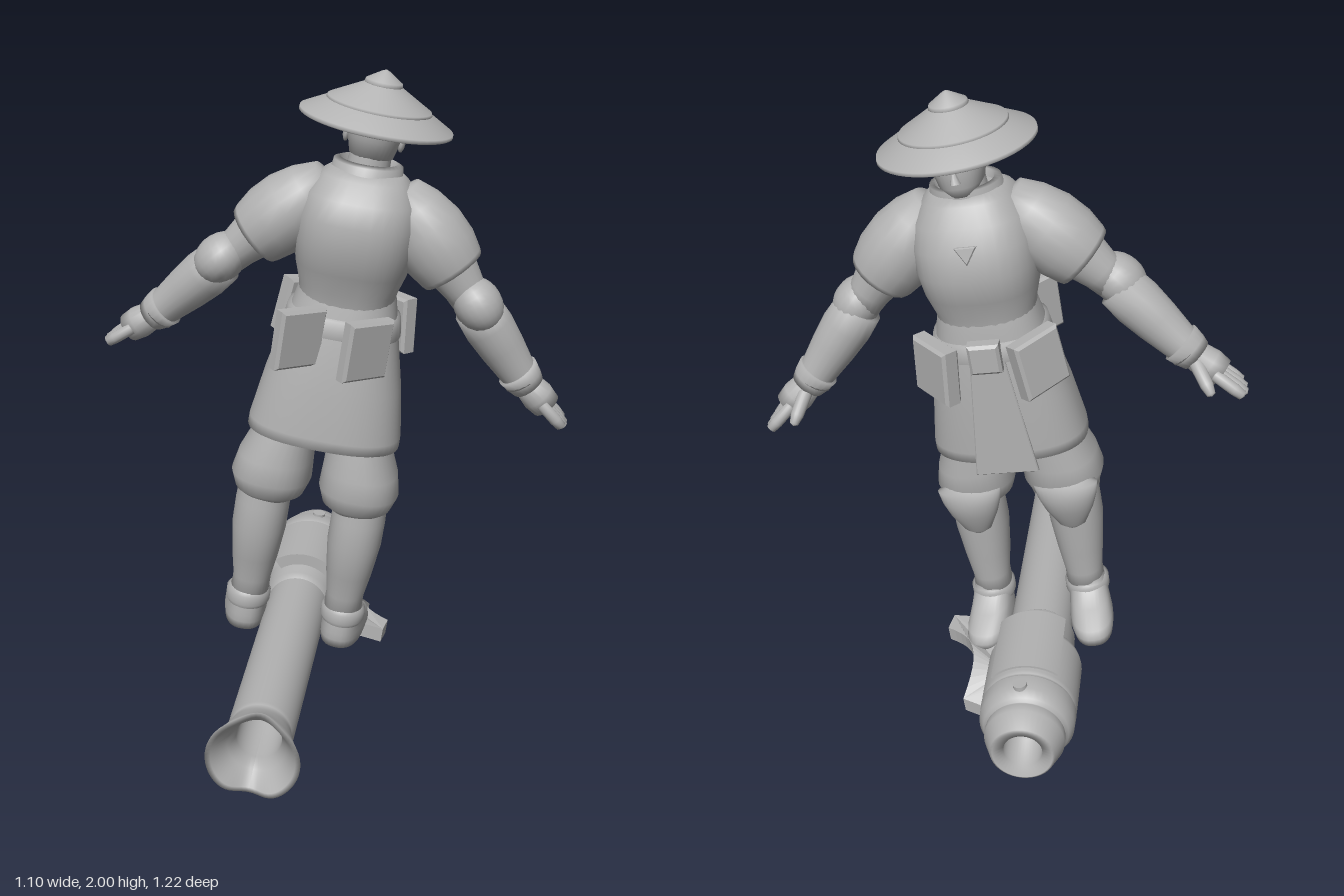
import * as THREE from 'three';

const grey = new THREE.MeshStandardMaterial({ color: 0xb2b2b2, side: THREE.DoubleSide });
grey.name = 'plain grey';
const V = (x, y, z) => new THREE.Vector3(x, y, z);

function add(parent, name, geo, pos = [0, 0, 0], rot = [0, 0, 0], scale = [1, 1, 1]) {
  const m = new THREE.Mesh(geo, grey);
  m.name = name;
  m.position.set(...pos);
  m.rotation.set(...rot);
  m.scale.set(...scale);
  parent.add(m);
  return m;
}

// Upright body of superellipse rings [y, halfWidth, halfDepth, centreZ, centreX]
function loft(rings, n = 2, seg = 32) {
  const pos = [], idx = [];
  const bend = (t) => Math.sign(t) * Math.pow(Math.abs(t), 2 / n);
  for (const [y, rx, rz, cz = 0, cx = 0] of rings)
    for (let j = 0; j < seg; j++) {
      const a = (j / seg) * Math.PI * 2;
      pos.push(cx + rx * bend(Math.sin(a)), y, cz + rz * bend(Math.cos(a)));
    }
  for (let i = 0; i < rings.length - 1; i++)
    for (let j = 0; j < seg; j++) {
      const a = i * seg + j, b = i * seg + ((j + 1) % seg);
      idx.push(a, b, b + seg, a, b + seg, a + seg);
    }
  const g = new THREE.BufferGeometry();
  g.setAttribute('position', new THREE.Float32BufferAttribute(pos, 3));
  g.setIndex(idx);
  g.computeVertexNormals();
  return g;
}

const lathe = (pts, seg = 32) => new THREE.LatheGeometry(pts.map(([r, y]) => new THREE.Vector2(r, y)), seg);

// Round limb from a to b, profile of [radius, fraction along]
function limb(parent, name, a, b, pts) {
  const d = b.clone().sub(a);
  const m = add(parent, name, lathe(pts.map(([r, t]) => [r, t * d.length()]), 20), a.toArray());
  m.quaternion.setFromUnitVectors(V(0, 1, 0), d.normalize());
}

function plate(points, depth, bevel) {
  const s = new THREE.Shape(points.map(([x, y]) => new THREE.Vector2(x, y)));
  return new THREE.ExtrudeGeometry(s, { depth, bevelEnabled: true, bevelThickness: bevel, bevelSize: bevel, bevelSegments: 1 });
}
const pouch = (w, h, d) => plate([[-w / 2, -h / 2], [w / 2, -h / 2], [w / 2, h / 2], [-w / 2, h / 2]], d, 0.008);

function makeArm(s) {
  const arm = new THREE.Group();
  arm.name = s > 0 ? 'leftArm' : 'rightArm';
  const P = (x, y, z) => V(x * s, y, z);
  const elbow = P(0.352, 1.08, 0.015), wrist = P(0.525, 0.88, 0.05), knuckle = P(0.602, 0.815, 0.065);
  limb(arm, 'shoulderPad', P(0.09, 1.36, 0.01), P(0.275, 1.165, 0.015),
    [[0, 0], [0.06, 0.04], [0.088, 0.25], [0.105, 0.5], [0.106, 0.75], [0.095, 0.95], [0.09, 1], [0.075, 0.98], [0, 0.9]]);
  limb(arm, 'upperArm', P(0.2, 1.25, 0.015), elbow, [[0.08, 0], [0.074, 0.4], [0.058, 0.75], [0.054, 1], [0, 1.05]]);
  // Domed guard over the outside of the elbow
  add(arm, 'elbowGuard', new THREE.SphereGeometry(0.07, 20, 14), elbow.clone().add(P(0.008, 0.005, -0.01)).toArray(),
    [0, 0, s * 0.7], [0.95, 1.15, 1.1]);
  limb(arm, 'forearmGuard', elbow, wrist,
    [[0, 0], [0.066, 0.03], [0.07, 0.28], [0.064, 0.55], [0.052, 0.9], [0.055, 1], [0, 1]]);
  limb(arm, 'wristCuff', wrist.clone().lerp(elbow, 0.12), wrist.clone().lerp(knuckle, 0.25),
    [[0, 0], [0.06, 0], [0.054, 0.6], [0.047, 1], [0, 1]]);
  // Hand: palm, four fingers and a thumb
  limb(arm, 'palm', wrist, knuckle.clone().lerp(wrist, -0.1),
    [[0, 0], [0.038, 0.05], [0.047, 0.6], [0.042, 0.95], [0, 1]]);
  for (let i = 0; i < 4; i++) {
    const z = (i - 1.5) * 0.024;
    const len = [0.85, 0.98, 1, 0.88][i];
    const from = knuckle.clone().add(V(0, 0, z));
    limb(arm, 'finger', from, from.clone().add(P(0.07 * len, -0.06 * len, 0.012 + z * 0.1)),
      [[0, -0.25], [0.017, -0.2], [0.017, 0.6], [0.014, 0.92], [0, 1]]);
  }
  limb(arm, 'thumb', P(0.54, 0.865, 0.08), P(0.58, 0.79, 0.15),
    [[0, 0], [0.02, 0.1], [0.018, 0.7], [0.012, 0.95], [0, 1]]);
  return arm;
}

function makeLeg(s) {
  const leg = new THREE.Group();
  leg.name = s > 0 ? 'leftLeg' : 'rightLeg';
  add(leg, 'baggyTrouser', loft([
    [0.43, 0, 0], [0.425, 0.075, 0.08], [0.445, 0.1, 0.105], [0.49, 0.116, 0.124, 0.002], [0.55, 0.108, 0.122, 0.005, -s * 0.005],
    [0.64, 0.088, 0.112, 0.01, -s * 0.022], [0.72, 0.075, 0.105, 0.018, -s * 0.035]], 2.3), [s * 0.128, 0, -0.018]);
  add(leg, 'greave', loft([
    [0.07, 0, 0], [0.07, 0.056, 0.06, 0.01], [0.14, 0.056, 0.062, 0.01], [0.22, 0.068, 0.078, 0.002],
    [0.32, 0.079, 0.09, -0.003], [0.4, 0.079, 0.09, 0.002], [0.45, 0.075, 0.085, 0]], 2.2), [s * 0.142, 0, -0.018]);
  add(leg, 'ankleCuff', loft([
    [0.05, 0.06, 0.065], [0.062, 0.066, 0.07], [0.09, 0.066, 0.07], [0.1, 0.056, 0.06]]), [s * 0.145, 0, -0.008]);
  // Curved knee plate with a pointed lower end
  add(leg, 'kneePlate', loft([
    [-0.11, 0, 0, 0.005], [-0.085, 0.04, 0.025], [-0.02, 0.07, 0.04, 0.01], [0.025, 0.085, 0.045, 0.012],
    [0.065, 0.092, 0.038, 0.012], [0.08, 0.055, 0.022, 0.01], [0.08, 0, 0, 0.01]]), [s * 0.14, 0.43, 0.062], [0.05, 0, 0]);
  const shoe = loft([
    [-0.025, 0, 0, 0.06], [-0.025, 0.06, 0.125, 0.06], [0.002, 0.065, 0.132, 0.06], [0.022, 0.063, 0.124, 0.053],
    [0.05, 0.059, 0.092, 0.02], [0.085, 0.055, 0.062, -0.005], [0.11, 0.05, 0.055, -0.005]], 2.5);
  add(leg, 'shoe', shoe, [s * 0.147, 0, 0], [0, s * 0.12, 0]);
  return leg;
}

function makeLauncher() {
  const g = new THREE.Group();
  g.name = 'launcher';
  g.position.set(0, -0.016, 0);
  const along = [Math.PI / 2, 0, 0];
  // Barrel with a flared, notched mouth
  const barrel = lathe([[0, -0.4], [0.06, -0.4], [0.062, -0.6], [0.078, -0.64], [0.112, -0.704], [0.126, -0.706],
    [0.104, -0.65], [0.09, -0.6], [0.085, -0.585], [0.084, -0.57], [0.09, -0.565], [0.093, 0.2]], 64);
  const p = barrel.attributes.position;
  for (let i = 0; i < p.count; i++) {
    const y = p.getY(i), r = Math.hypot(p.getX(i), p.getZ(i));
    if (y < -0.62 && r > 0) p.setY(i, y + 0.036 * Math.pow(Math.abs(p.getZ(i) / r), 12) * (-0.62 - y) / 0.086);
  }
  barrel.computeVertexNormals();
  add(g, 'barrel', barrel, [0, 0, 0], along);
  add(g, 'drum', lathe([[0.09, 0.12], [0.105, 0.14], [0.108, 0.22], [0.13, 0.25], [0.136, 0.27], [0.136, 0.44],
    [0.13, 0.447], [0.13, 0.455], [0.136, 0.462], [0.134, 0.51], [0.12, 0.535], [0.108, 0.54], [0.112, 0.548],
    [0.112, 0.575], [0.09, 0.628], [0.083, 0.632], [0.054, 0.615], [0.05, 0.52], [0, 0.52]], 40), [0, 0, 0], along);
  add(g, 'topCasing', new THREE.CylinderGeometry(0.142, 0.142, 0.24, 20, 1, false, Math.PI - 0.75, 1.5), [0, 0, 0.31], along);
  add(g, 'pin', new THREE.CylinderGeometry(0.02, 0.02, 0.04, 16), [0, 0.122, 0.5]);
  add(g, 'grip', plate([[-0.03, -0.04], [0.03, -0.04], [0.037, 0], [0.03, 0.04], [-0.03, 0.04], [-0.037, 0]], 0.27, 0.004),
    [0, -0.07, 0.18], along);
  // Shoulder rest: hollow-edged plate bent downwards towards its front
  const s = new THREE.Shape();
  s.moveTo(-0.06, 0.08);
  s.lineTo(-0.275, 0.045);
  s.lineTo(-0.285, 0.105);
  s.quadraticCurveTo(-0.14, 0.18, -0.22, 0.33);
  s.lineTo(-0.15, 0.35);
  s.quadraticCurveTo(-0.1, 0.26, -0.06, 0.24);
  const rest = new THREE.ExtrudeGeometry(s, { depth: 0.045, bevelEnabled: false, curveSegments: 12 });
  rest.rotateX(Math.PI / 2);
  const q = rest.attributes.position;
  for (let i = 0; i < q.count; i++) {
    const t = Math.max(0, q.getZ(i) - 0.15);
    q.setY(i, q.getY(i) + 0.02 - 2.6 * t * t);
  }
  rest.computeVertexNormals();
  add(g, 'shoulderRest', rest);
  return g;
}

export function createModel() {
  const model = new THREE.Group();
  model.name = 'strawHatGuard';
  model.rotation.y = -Math.PI * 0.75;
  const body = new THREE.Group();
  body.name = 'leaningFigure';
  body.position.set(0.035, 0.36, 0.02);
  body.rotation.z = 0.147;
  model.add(body);

  for (const s of [1, -1]) body.add(makeLeg(s), makeArm(s));
  body.add(makeLauncher());

  // Flaring skirt with a front panel
  add(body, 'skirt', loft([[0.68, 0, 0, 0.01], [0.635, 0.205, 0.135, 0.01], [0.63, 0.219, 0.149, 0.01], [0.66, 0.218, 0.15, 0.011],
    [0.8, 0.194, 0.147, 0.018], [0.93, 0.164, 0.138, 0.025], [1.03, 0.142, 0.124, 0.03], [1.06, 0.135, 0.12, 0.03]], 2.5, 48));
  add(body, 'centreFrontPanel', plate([[-0.085, 0.6], [0.085, 0.6], [0.045, 0.95], [-0.045, 0.95]], 0.01, 0.003),
    [0, 0, 0.153]);

  // Breastplate, belt and collar
  add(body, 'torso', loft([[1, 0.13, 0.118, 0.03], [1.07, 0.137, 0.125, 0.027], [1.13, 0.155, 0.152, 0.025], [1.2, 0.166, 0.17, 0.022],
    [1.27, 0.166, 0.166, 0.015], [1.33, 0.152, 0.145, 0.01], [1.38, 0.118, 0.11, 0.015], [1.4, 0.09, 0.085, 0.025], [1.39, 0, 0, 0.03]], 2.5));
  add(body, 'belt', loft([[0.945, 0.15, 0.13, 0.028], [0.95, 0.167, 0.142, 0.028], [1.0, 0.158, 0.138, 0.028], [1.005, 0.14, 0.12, 0.028]], 2.5));
  add(body, 'collar', loft([[1.34, 0.105, 0.1, 0.015], [1.415, 0.094, 0.09, 0.022], [1.42, 0.078, 0.075, 0.03], [1.36, 0.07, 0.068, 0.03]]));
  add(body, 'chestClasp', plate([[-0.025, 0.02], [0, -0.02], [0.025, 0.02]], 0.01, 0.004), [0, 1.27, 0.172], [-0.2, 0, 0]);
  add(body, 'buckle', pouch(0.07, 0.07, 0.03), [0, 0.975, 0.16]);

  // Belt pouches
  for (const s of [1, -1]) {
    add(body, 'frontPouch', pouch(0.13, 0.145, 0.035), [s * 0.125, 0.945, 0.155], [-0.1, s * Math.PI / 4, s * 0.15]);
    add(body, 'backPouch', pouch(0.135, 0.15, 0.025), [s * 0.092, 0.95, -0.153], [0, Math.PI / 4, 0]);
  }

  // Head and wide tiered hat, tipped a little to one side
  const head = new THREE.Group();
  head.name = 'head';
  head.position.set(0, 1.4, 0.04);
  head.rotation.z = 0.04;
  body.add(head);
  add(head, 'neck', new THREE.CylinderGeometry(0.055, 0.062, 0.12, 20), [0, 0, -0.005]);
  add(head, 'skull', loft([[0, 0, 0, 0.025], [0.002, 0.035, 0.045, 0.03], [0.03, 0.06, 0.075, 0.015], [0.08, 0.073, 0.087, 0.005],
    [0.13, 0.075, 0.088], [0.18, 0.06, 0.07], [0.205, 0, 0]], 2.2));
  add(head, 'nose', new THREE.ConeGeometry(0.014, 0.045, 8), [0, 0.07, 0.092], [-0.2, 0, 0]);
  for (const s of [1, -1])
    add(head, 'ear', new THREE.SphereGeometry(0.02, 12, 8), [s * 0.075, 0.08, -0.005], [0, 0, 0], [0.5, 1.3, 0.9]);
  add(head, 'hatBrim', lathe([[0, 0.212], [0.13, 0.155], [0.195, 0.125], [0.203, 0.116], [0.208, 0.119], [0.207, 0.128],
    [0.14, 0.165]], 48), [0.004, 0, 0]);
  add(head, 'hatCrown', lathe([[0.138, 0.16], [0.143, 0.163], [0.14, 0.17], [0.045, 0.222]], 48), [0.004, 0, 0]);
  add(head, 'hatTip', lathe([[0.048, 0.216], [0.052, 0.22], [0.049, 0.229], [0.01, 0.254], [0, 0.258]], 32), [0.004, 0, 0]);
  return model;
}
